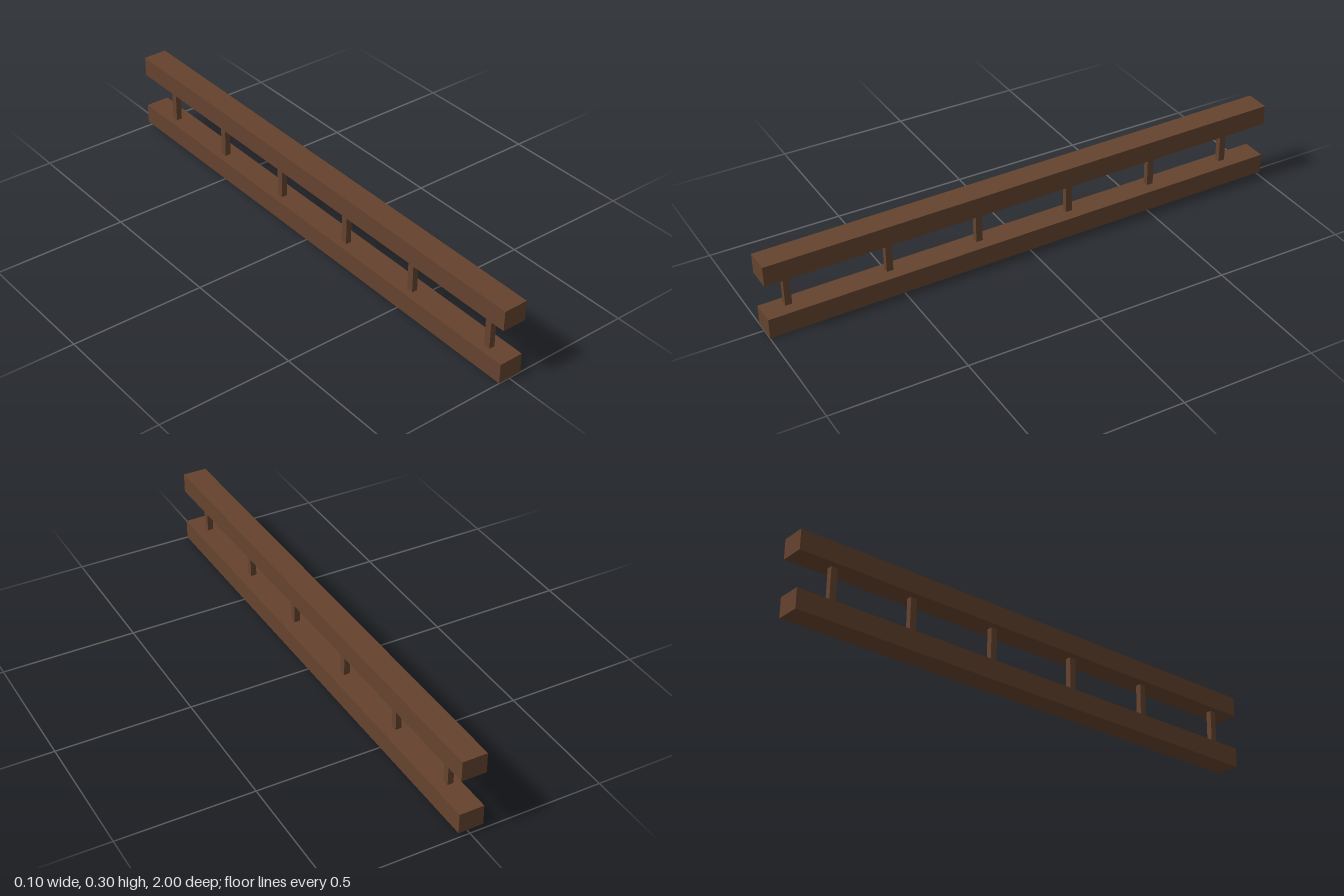
import * as THREE from 'three';

export function createModel() {
  const model = new THREE.Group();
  model.name = 'railing';
  const wood = new THREE.MeshStandardMaterial({ color: 0x65432e });
  wood.name = 'brown wood';

  function addBox(name, size, position) {
    const mesh = new THREE.Mesh(new THREE.BoxGeometry(...size), wood);
    mesh.name = name;
    mesh.position.set(...position);
    frame.add(mesh);
  }

  // The whole railing rises gently to the back and is turned very slightly
  const frame = new THREE.Group();
  frame.name = 'railingFrame';
  frame.rotation.set(0.009, 0.0032, 0);
  model.add(frame);

  // Two long square beams
  const beam = [0.092, 0.0755, 1.999];
  const lowerY = 0.0475, upperY = 0.2585;
  addBox('lowerBeam', beam, [0, lowerY, 0]);
  addBox('upperBeam', beam, [0, upperY, 0]);

  // Slim posts between the beams, set a little to one side
  const postZ = [0.907, 0.533, 0.185, -0.18, -0.527, -0.848];
  postZ.forEach((z, i) => {
    addBox(`post${i + 1}`, [0.022, 0.15, 0.025], [-0.009, (lowerY + upperY) / 2, z]);
  });

  return model;
}
